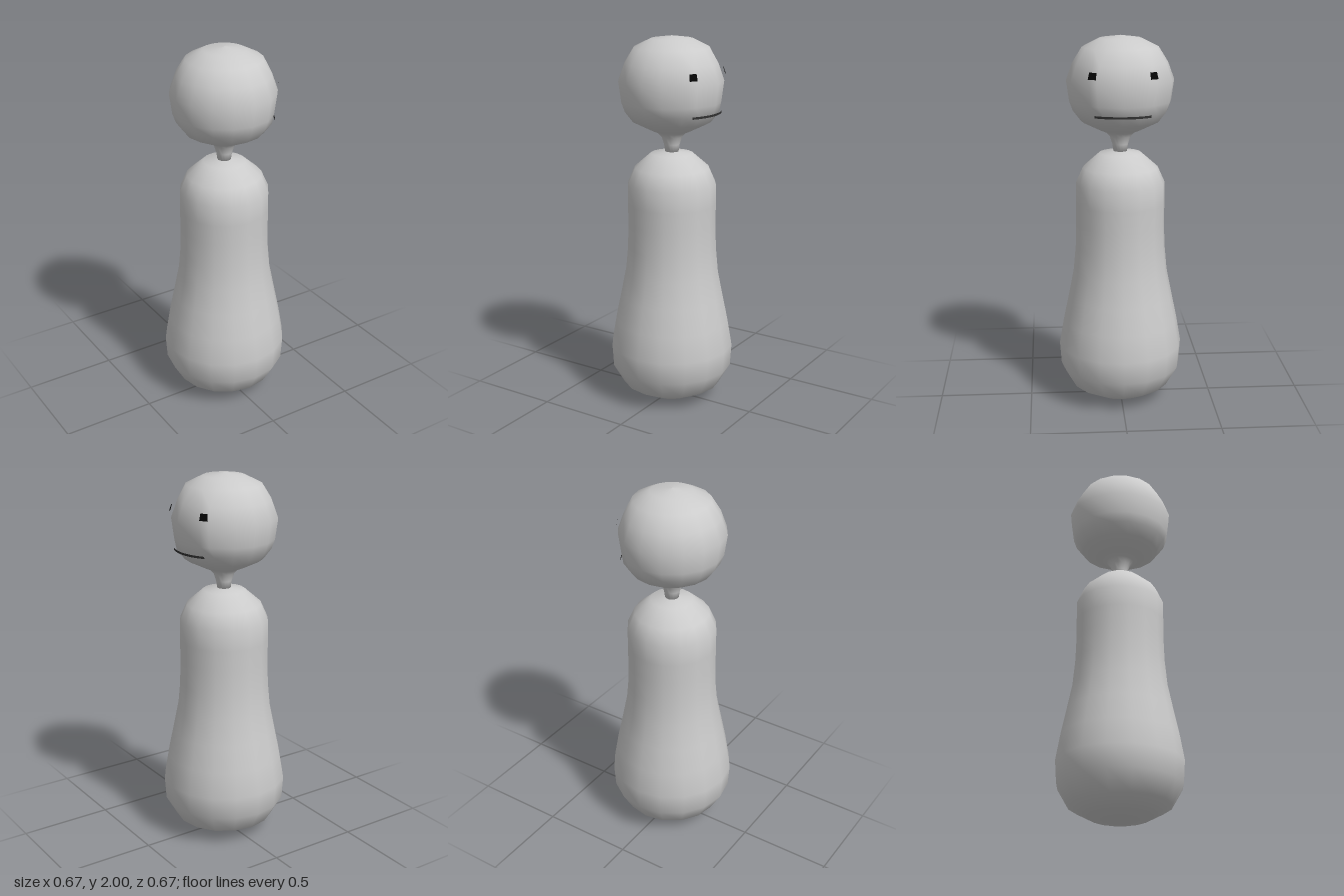
import * as THREE from 'three';

const grey = new THREE.MeshStandardMaterial({ color: 0xcccccc, side: THREE.DoubleSide });
const black = new THREE.MeshStandardMaterial({ color: 0x050505, side: THREE.DoubleSide });
const dark = new THREE.MeshStandardMaterial({ color: 0x333333, side: THREE.DoubleSide });

function part(name, geometry, material) {
  const mesh = new THREE.Mesh(geometry, material);
  mesh.name = name;
  return mesh;
}

// 16-sided turned form, profile as [radius, height] from bottom to top
function turned(profile) {
  const points = profile.map(([r, y]) => new THREE.Vector2(r, y));
  return new THREE.LatheGeometry(points, 16, -Math.PI / 2);
}

// Flatten the cheeks on the +x side, where the face is
function flattenFace(geometry) {
  const p = geometry.attributes.position;
  for (let i = 0; i < p.count; i++) {
    const x = p.getX(i), y = p.getY(i), z = p.getZ(i);
    if (y < 1.64 || y > 1.9) continue;
    const step = Math.round(Math.atan2(z, x) / (Math.PI / 8));
    if (Math.abs(step) !== 1 && Math.abs(step) !== 2) continue;
    const near = Math.abs(step) === 1;
    const angle = Math.sign(step) * THREE.MathUtils.degToRad(near ? 29.5 : 39);
    const r = Math.hypot(x, z) * (near ? 0.965 : 0.96);
    p.setXYZ(i, r * Math.cos(angle), y, r * Math.sin(angle));
  }
  return geometry;
}

// Four-cornered eye patch; side is +1 or -1 along z
function eye(side) {
  const corners = [[0.24, 1.8, 0.138], [0.218, 1.8, 0.178], [0.21, 1.835, 0.17], [0.23, 1.835, 0.134]];
  const g = new THREE.BufferGeometry();
  g.setAttribute('position', new THREE.Float32BufferAttribute(
    corners.flatMap(([x, y, z]) => [x + 0.002, y, z * side]), 3));
  g.setIndex(side > 0 ? [0, 2, 1, 0, 3, 2] : [0, 1, 2, 0, 2, 3]);
  g.computeVertexNormals();
  return g;
}

export function createModel() {
  const model = new THREE.Group();
  model.name = 'figure';

  // Pear-shaped body
  model.add(part('body', turned([
    [0, 0.005], [0.157, 0.025], [0.268, 0.085], [0.328, 0.19], [0.336, 0.31],
    [0.312, 0.45], [0.283, 0.59], [0.255, 0.73], [0.242, 0.87], [0.238, 1.0],
    [0.239, 1.11], [0.238, 1.22], [0.2, 1.305], [0.112, 1.382], [0, 1.397],
  ]), grey));

  // Head narrowing into the neck
  model.add(part('head', flattenFace(turned([
    [0, 1.385], [0.036, 1.39], [0.042, 1.43], [0.055, 1.47], [0.075, 1.492], [0.11, 1.507],
    [0.208, 1.555], [0.25, 1.61], [0.268, 1.66], [0.283, 1.77], [0.25, 1.86],
    [0.2, 1.94], [0.11, 1.985], [0, 2],
  ])), grey));

  // Eyes
  model.add(part('leftEye', eye(-1), black), part('rightEye', eye(1), black));

  // Thin curved mouth
  const half = 0.587;
  const mouth = new THREE.CylinderGeometry(0.262, 0.261, 0.012, 8, 1, true, Math.PI / 2 - half, 2 * half);
  mouth.translate(0, 1.61, 0);
  model.add(part('mouth', mouth, dark));

  return model;
}
